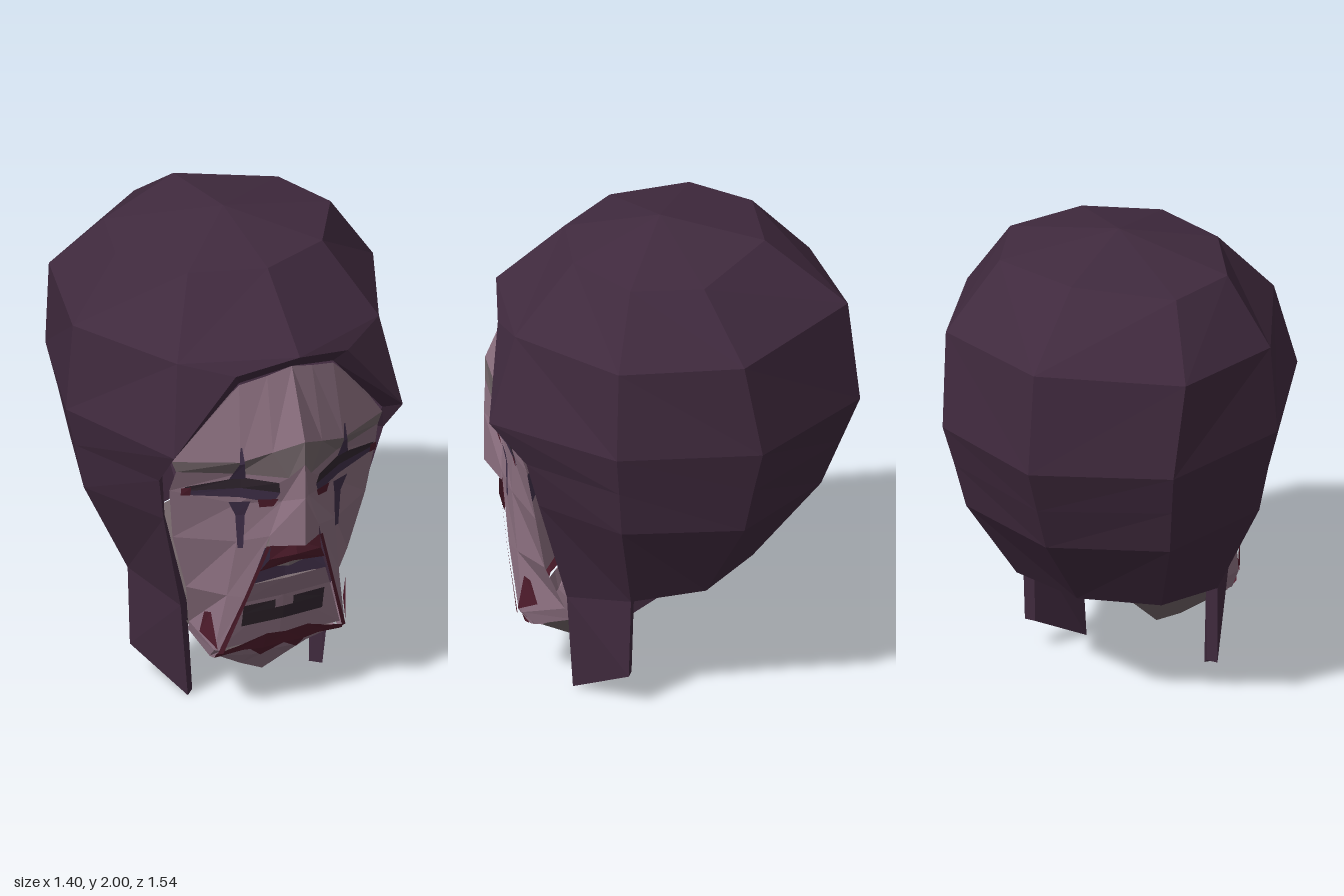
import * as THREE from 'three';

const mat = (name, color) => {
  const m = new THREE.MeshStandardMaterial({ color, side: THREE.DoubleSide });
  m.name = name;
  return m;
};

export function createModel() {
  const hoodCloth = mat('hoodCloth', 0x402a3e);
  const skin = mat('skin', 0x8c7080);
  const greySkin = mat('greySkin', 0x74666a);
  const lipRed = mat('lipRed', 0x511d2d);
  const eyeShadow = mat('eyeShadow', 0x31262f);
  const purplePaint = mat('purplePaint', 0x41304a);

  const group = new THREE.Group();
  group.name = 'hoodedHead';

  // Faceted panels between rows of points, mirrored to both sides.
  function panels(name, material, ...lofts) {
    const pos = [];
    const tri = (a, b, c) => {
      const [A, B, C] = [a, b, c].map(p => new THREE.Vector3(...p));
      if (B.clone().sub(A).cross(C.clone().sub(A)).length() < 1e-7) return;
      for (const p of [a, b, c]) pos.push(...p);
      for (const p of [a, c, b]) pos.push(-p[0], p[1], p[2]);
    };
    for (const rows of lofts) {
      for (let r = 0; r + 1 < rows.length; r++) {
        for (let i = 0; i + 1 < rows[r].length; i++) {
          const a = rows[r], b = rows[r + 1];
          tri(a[i], b[i], b[i + 1]);
          tri(a[i], b[i + 1], a[i + 1]);
        }
      }
    }
    const geo = new THREE.BufferGeometry();
    geo.setAttribute('position', new THREE.Float32BufferAttribute(pos, 3));
    geo.computeVertexNormals();
    const mesh = new THREE.Mesh(geo, material);
    mesh.name = name;
    group.add(mesh);
  }

  // Hood: half rings running from the front round to the back
  const front = [0, 1.63, 0.72], brim = [0.25, 1.57, 0.65];
  const crown = [[0, 1.9, 0.44], [0.3, 1.9, 0.33], [0.48, 1.9, 0.05], [0.39, 1.9, -0.23], [0, 1.94, -0.38]];
  const temple = [[0.45, 1.62, 0.53], [0.67, 1.62, 0.05], [0.53, 1.64, -0.43], [0, 1.7, -0.72]];
  const lower = [
    [[0.51, 1.25, 0.62], [0.7, 1.25, 0.05], [0.51, 1.25, -0.5], [0, 1.28, -0.77]],
    [[0.5, 1.08, 0.47], [0.66, 1.08, 0.05], [0.48, 1.07, -0.455], [0, 1.08, -0.69]],
    [[0.46, 0.88, 0.43], [0.62, 0.88, 0.05], [0.45, 0.87, -0.41], [0, 0.88, -0.61]],
    [[0.34, 0.42, 0.345], [0.43, 0.48, 0.06], [0.32, 0.51, -0.22], [0, 0.52, -0.33]],
  ];
  panels('hood', hoodCloth,
    [crown.map(() => [0, 2, 0.05]), crown, [front, ...temple]],
    [temple, ...lower],
    [[front, temple[0]], [brim, temple[0]]],
    [[temple[0], temple[0]], [brim, lower[0][0]]]);

  // Thickness of the hood around the face opening: inner, outer
  panels('hoodRim', hoodCloth, [
    [[0, 1.56, 0.65], front],
    [[0.21, 1.51, 0.6], brim],
    [[0.47, 1.2, 0.52], lower[0][0]],
    [[0.47, 1.08, 0.44], lower[1][0]],
    [[0.44, 0.88, 0.4], lower[2][0]],
    [[0.3, 0.42, 0.32], lower[3][0]],
  ]);

  // Hanging side flaps
  const flapTop = [[0.3, 0.42, 0.32], lower[3][0], lower[3][1], [0.38, 0.48, 0.06]];
  const flapEnd = [[0.26, 0, 0.29], [0.3, 0, 0.33], [0.425, 0.14, 0.07], [0.38, 0.14, 0.07]];
  panels('hoodFlaps', hoodCloth,
    [[...flapTop, flapTop[0]], [...flapEnd, flapEnd[0]]],
    [[flapEnd[1], flapEnd[2]], [flapEnd[0], flapEnd[3]]]);

  // Face rows run from the centre line outwards
  const brow = [[0, 1.27, 0.765], [0.11, 1.22, 0.7], [0.23, 1.18, 0.65], [0.47, 1.18, 0.52]];
  const socket = [[0, 1.17, 0.765], [0.05, 1.1, 0.72], [0.22, 1.11, 0.61], [0.45, 1.13, 0.52]];
  const underEye = [[0, 1.02, 0.77], [0.06, 0.98, 0.68], [0.22, 0.97, 0.6], [0.46, 1.03, 0.48]];
  const noseBase = [[0, 0.81, 0.77], [0.11, 0.83, 0.67], [0.22, 0.8, 0.6], [0.43, 0.8, 0.45]];
  panels('forehead', skin,
    [[[0, 1.56, 0.65], [0.1, 1.53, 0.63], [0.21, 1.5, 0.6], [0.34, 1.37, 0.56]], brow]);
  panels('eyeSockets', greySkin, [brow, socket]);
  panels('noseAndCheeks', skin,
    [socket, underEye, noseBase],
    [noseBase.slice(0, 2), [[0, 0.79, 0.68], [0.11, 0.785, 0.67]]]);

  // Long lower cheeks on either side of the mouth
  panels('jaw', skin, [
    noseBase.slice(1),
    [[0.19, 0.55, 0.62], [0.25, 0.55, 0.57], [0.36, 0.55, 0.43]],
    [[0.27, 0.3, 0.56], [0.29, 0.3, 0.54], [0.31, 0.35, 0.36]],
    [[0.28, 0.25, 0.51], [0.285, 0.25, 0.49], [0.3, 0.3, 0.33]],
  ]);

  // Chin and the underside of the head
  const chinEdge = [[0, 0.08, 0.39], [0.1, 0.13, 0.4], [0.28, 0.25, 0.46]];
  panels('chin', skin, [
    [[0, 0.28, 0.52], [0.14, 0.27, 0.515], [0.28, 0.25, 0.51]],
    [[0, 0.22, 0.5], [0.1, 0.21, 0.49], [0.28, 0.25, 0.49]],
    chinEdge,
  ]);
  panels('neck', greySkin, [
    chinEdge,
    [[0, 0.3, 0.19], [0.2, 0.35, 0.19], [0.31, 0.35, 0.3]],
    [[0, 0.43, 0.07], [0.22, 0.46, 0.05], [0.38, 0.48, 0.06]],
    [[0, 0.5, -0.1], [0.2, 0.505, -0.1], [0.35, 0.505, -0.12]],
    [[0, 0.52, -0.32], [0.17, 0.515, -0.27], [0.32, 0.51, -0.22]],
  ]);

  // Open mouth: dark hollow, skin below, dark lower gap
  panels('mouthHollow', purplePaint,
    [[[0, 0.74, 0.6], [0.13, 0.74, 0.6]], [[0, 0.59, 0.59], [0.18, 0.59, 0.6]]]);
  panels('innerMouth', skin,
    [[[0, 0.59, 0.61], [0.175, 0.59, 0.6]], [[0, 0.5, 0.58], [0.21, 0.5, 0.57]], [[0, 0.3, 0.54], [0.275, 0.29, 0.53]]]);
  panels('upperTeeth', greySkin,
    [[[0, 0.685, 0.63], [0.09, 0.69, 0.625]], [[0, 0.65, 0.625], [0.08, 0.665, 0.62]]]);
  panels('lowerGap', eyeShadow,
    [[[0.04, 0.49, 0.588], [0.18, 0.49, 0.582]], [[0.04, 0.45, 0.582], [0.18, 0.45, 0.574]]],
    [[[0, 0.45, 0.582], [0.18, 0.45, 0.574]], [[0, 0.39, 0.57], [0.18, 0.39, 0.562]]]);

  // Painted lips
  panels('upperLip', lipRed,
    [[[0, 0.79, 0.685], [0.11, 0.79, 0.68]], [[0, 0.735, 0.695], [0.115, 0.73, 0.68]], [[0, 0.69, 0.66], [0.145, 0.67, 0.65]]],
    [[[0.11, 0.79, 0.68], [0.125, 0.79, 0.675]], [[0.185, 0.55, 0.63], [0.2, 0.55, 0.625]], [[0.265, 0.29, 0.57], [0.285, 0.29, 0.56]]]);
  panels('lowerLip', lipRed, [
    [[0, 0.345, 0.6], [0.09, 0.36, 0.61], [0.2, 0.31, 0.57], [0.28, 0.28, 0.54]],
    [[0, 0.285, 0.58], [0.09, 0.28, 0.575], [0.2, 0.28, 0.55], [0.285, 0.26, 0.53]],
    [[0, 0.27, 0.53], [0.08, 0.225, 0.53], [0.13, 0.265, 0.53], [0.28, 0.25, 0.515]],
  ]);
  panels('mouthCornerPaint', lipRed,
    [[[0.3, 0.47, 0.53], [0.315, 0.46, 0.5]], [[0.285, 0.31, 0.56], [0.32, 0.36, 0.47]]]);

  // Painted eyes: dark upper lid, purple lower lid, red corners, streaks
  const lash = [[0.08, 1.035, 0.705], [0.22, 1.055, 0.63], [0.42, 1.045, 0.535]];
  panels('upperEyelids', eyeShadow,
    [[[0.09, 1.085, 0.715], [0.22, 1.105, 0.635], [0.42, 1.065, 0.54]], lash]);
  panels('lowerEyelids', purplePaint,
    [lash, [[0.1, 0.985, 0.685], [0.22, 1.01, 0.622], [0.42, 1.025, 0.53]]]);
  panels('eyeCorners', lipRed,
    [[[0.085, 1.005, 0.7], [0.16, 1.005, 0.665]], [[0.1, 0.97, 0.685], [0.15, 0.965, 0.66]]],
    [[[0.4, 1.065, 0.555], [0.435, 1.06, 0.535]], [[0.4, 1.025, 0.545], [0.435, 1.025, 0.53]]]);
  panels('eyeStreaks', purplePaint,
    [[[0.227, 1.25, 0.66], [0.234, 1.25, 0.658]], [[0.22, 1.18, 0.672], [0.24, 1.18, 0.665]], [[0.205, 1.1, 0.645], [0.265, 1.1, 0.62]]],
    [[[0.185, 0.995, 0.65], [0.265, 0.995, 0.615]], [[0.2, 0.93, 0.63], [0.235, 0.93, 0.615]], [[0.205, 0.78, 0.625], [0.225, 0.78, 0.615]]]);

  return group;
}
